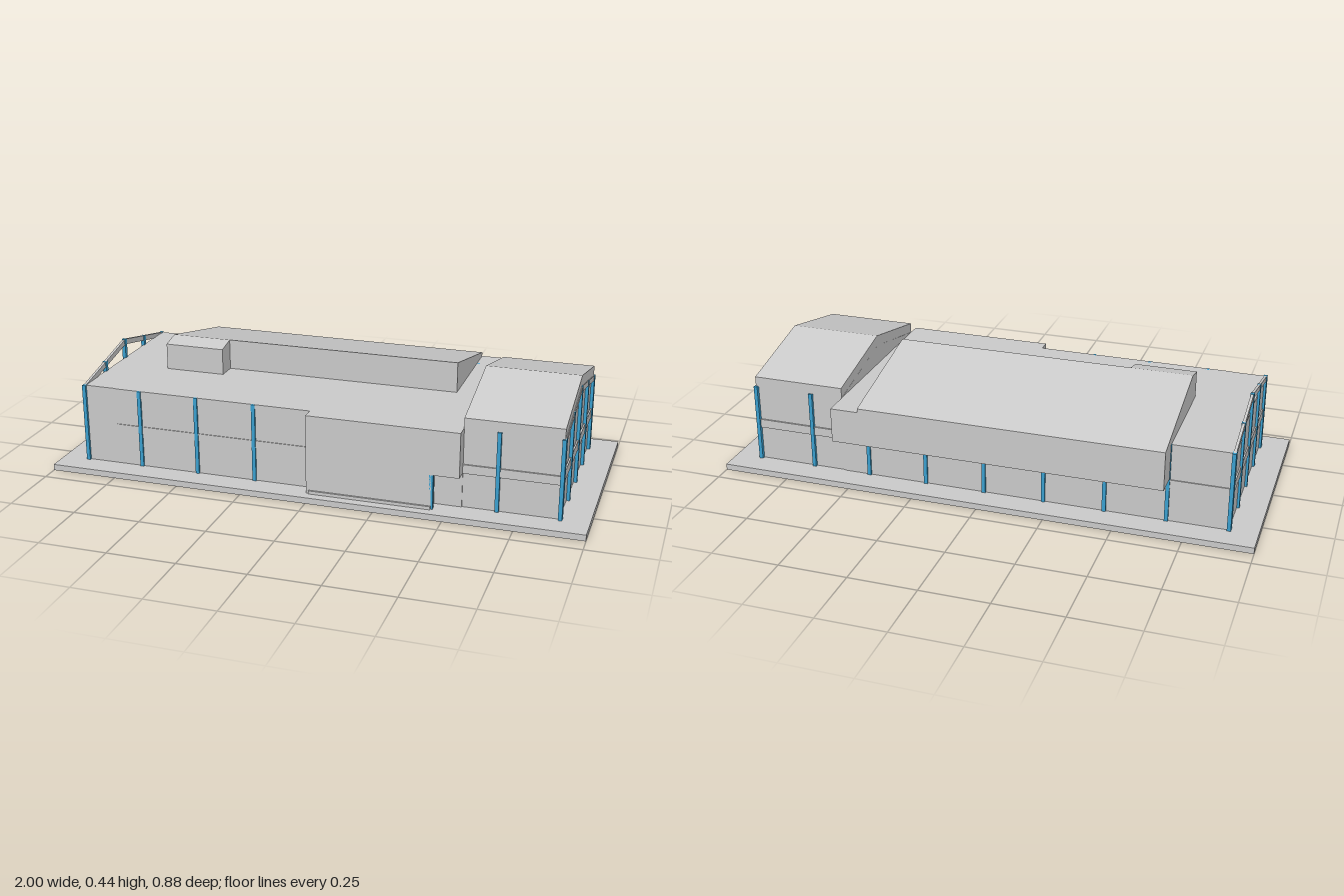
import * as THREE from 'three';

const grey = new THREE.MeshStandardMaterial({ color: 0xcccccc, flatShading: true });
const blue = new THREE.MeshStandardMaterial({ color: 0x3aa0d0, flatShading: true });
const G = 0.023; // ground level on top of the slab
const EAVE = 0.32;

export function createModel() {
  const model = new THREE.Group();

  const add = (name, geometry, material = grey) => {
    const mesh = new THREE.Mesh(geometry, material);
    mesh.name = name;
    model.add(mesh);
    return mesh;
  };

  // Box given by its limits on each axis
  const box = (name, x0, x1, y0, y1, z0, z1, material) =>
    add(name, new THREE.BoxGeometry(x1 - x0, y1 - y0, z1 - z0)
      .translate((x0 + x1) / 2, (y0 + y1) / 2, (z0 + z1) / 2), material);

  // Profile of [z, y] points extruded along x
  const prism = (name, points, x0, x1) => {
    const shape = new THREE.Shape(points.map(([z, y]) => new THREE.Vector2(-z, y)));
    const geometry = new THREE.ExtrudeGeometry(shape, { depth: x1 - x0, bevelEnabled: false });
    return add(name, geometry.rotateY(Math.PI / 2).translate(x0, 0, 0));
  };

  box('groundSlab', -1, 1, 0, G, -0.437, 0.435);

  // Flat-roofed main hall
  box('mainHall', -0.895, 0.55, G, EAVE, -0.342, 0.342);

  // Front bay, with a raised corner over the entrance
  box('frontBay', -0.01, 0.45, G, EAVE, 0.34, 0.393);
  box('entranceCanopy', 0.45, 0.55, 0.152, EAVE, 0.34, 0.393);
  box('frontBayPlinth', 0.0, 0.45, G, 0.035, 0.34, 0.4);

  // Gabled wing at the left end
  prism('gableWing', [[0.338, G], [0.338, EAVE], [0, 0.395], [-0.338, EAVE], [-0.338, G]], 0.55, 0.892);
  prism('gableWingRoof', [[0.342, EAVE], [0.342, 0.358], [0, 0.435], [-0.342, 0.358], [-0.342, EAVE], [0, 0.395]], 0.55, 0.899);

  // Sloping rear roof, a shell open underneath where it overhangs the wall
  prism('rearRoof', [[0, EAVE], [0, 0.435], [-0.44, 0.335], [-0.44, 0.19],
    [-0.432, 0.19], [-0.432, 0.329], [-0.008, 0.425], [-0.008, EAVE]], -0.68, 0.445);
  const endProfile = [[0, EAVE], [0, 0.435], [-0.44, 0.335], [-0.44, 0.19], [-0.342, 0.19], [-0.342, EAVE]];
  for (const x of [-0.68, 0.437]) prism('rearRoofEnd', endProfile, x, x + 0.008);
  box('rearFlatLink', 0.445, 0.55, 0.19, EAVE, -0.44, -0.34);

  // Small dormer across the ridge
  prism('roofDormer', [[0, EAVE], [0.075, EAVE], [0.075, 0.419], [0, 0.435]], -0.68, -0.45);

  // Gable end frames: rafters, posts and horizontal rails
  const rafter = [[0.342, 0.3], [0.342, EAVE], [0, 0.395], [-0.342, EAVE], [-0.342, 0.3], [0, 0.374]];
  for (const side of [-1, 1]) {
    const x = side * 0.897;
    prism('gableRafter', rafter, x - 0.005, x + 0.005);
    box('gableRail', x - 0.003, x + 0.003, 0.152, 0.19, -0.34, 0.34);
    for (const z of [-0.338, -0.169, 0, 0.169, 0.338]) {
      const half = Math.abs(z) > 0.3 ? 0.013 : 0.008;
      const top = 0.395 - 0.22 * Math.abs(z);
      box('gablePost', x - 0.007, x + 0.007, G, top, z - half, z + half, blue);
    }
  }

  // Posts along the long walls
  const post = (x, z, top) => box('wallPost', x - 0.007, x + 0.007, G, top, z - 0.008, z + 0.008, blue);
  for (const x of [-0.675, -0.45, -0.225, 0.675]) post(x, 0.341, EAVE);
  post(0.45, 0.385, 0.152);
  for (let i = 0; i < 8; i++) post(-0.675 + i * 0.225 - (i === 7 ? 0.225 : 0), -0.341, EAVE);

  // Rails along the long walls
  for (const [y0, y1] of [[0.152, 0.18], [0.29, EAVE]]) {
    box('frontRail', -0.77, -0.01, y0, y1, 0.34, 0.345);
  }
  box('rearRail', -0.89, 0.55, 0.152, 0.185, -0.346, -0.34);
  for (const z of [-0.341, 0.341]) box('wingRail', 0.55, 0.892, 0.152, 0.185, z - 0.003, z + 0.003);

  return model;
}
